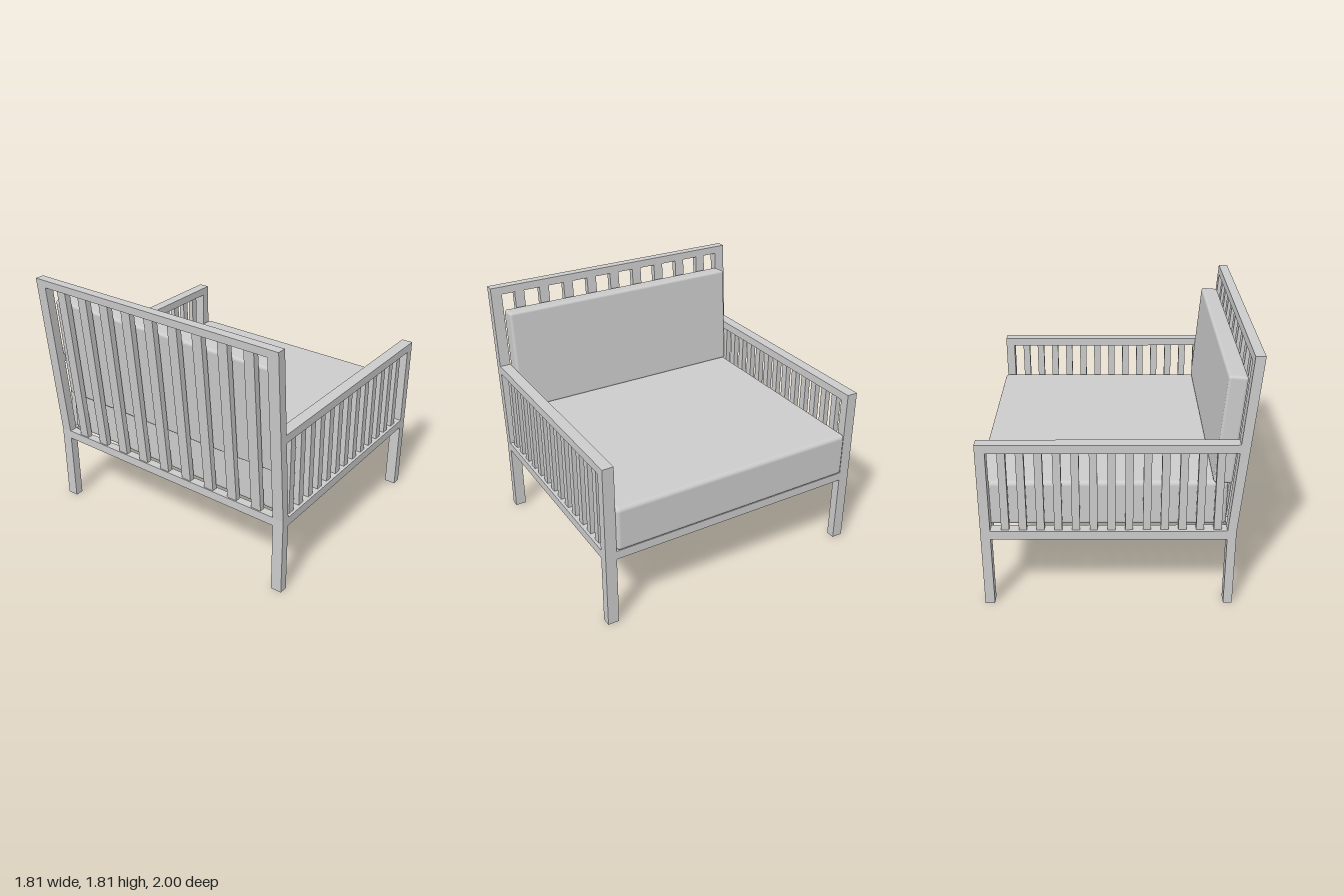
import * as THREE from 'three';
import { RoundedBoxGeometry } from 'three/addons/geometries/RoundedBoxGeometry.js';

const material = new THREE.MeshStandardMaterial({ color: 0xcccccc });

// Leaning back frame: the rear face and front face of the back post at height y
const REAR_SLOPE = (0.91 - 0.805) / (1.81 - 0.575);
const FRONT_SLOPE = (0.845 - 0.745) / (1.81 - 0.575);
const rearX = (y) => -0.805 - REAR_SLOPE * (y - 0.575);
const frontX = (y) => -0.745 - FRONT_SLOPE * (y - 0.575);

export function createModel() {
  const model = new THREE.Group();

  const add = (name, geometry) => {
    const mesh = new THREE.Mesh(geometry, material);
    mesh.name = name;
    model.add(mesh);
    return mesh;
  };

  // Box given by its limits on each axis
  const box = (name, x0, x1, y0, y1, z0, z1) => {
    const mesh = add(name, new THREE.BoxGeometry(x1 - x0, y1 - y0, z1 - z0));
    mesh.position.set((x0 + x1) / 2, (y0 + y1) / 2, (z0 + z1) / 2);
  };

  // Side outline in x and y, carried from z0 to z1
  const profile = (name, points, z0, z1) => {
    const shape = new THREE.Shape(points.map(([x, y]) => new THREE.Vector2(x, y)));
    const geometry = new THREE.ExtrudeGeometry(shape, { depth: z1 - z0, bevelEnabled: false });
    add(name, geometry.translate(0, 0, z0));
  };

  // Leaning piece between two heights, set in from both faces of the back frame
  const leaning = (name, y0, y1, inset, z0, z1) =>
    profile(name, [
      [rearX(y0) + inset, y0], [frontX(y0) - inset, y0],
      [frontX(y1) - inset, y1], [rearX(y1) + inset, y1],
    ], z0, z1);

  for (const side of [-1, 1]) {
    const z0 = side > 0 ? 0.92 : -1;
    const z1 = z0 + 0.08;

    // Posts
    box('frontLeg', 0.82, 0.885, 0, 1.215, z0, z1);
    profile('backPost', [
      [-0.805, 0], [-0.745, 0], [-0.745, 0.575],
      [frontX(1.81), 1.81], [rearX(1.81), 1.81], [-0.805, 0.575],
    ], z0, z1);

    // Arm rail and lower side rail
    profile('armRail', [
      [frontX(1.155), 1.155], [0.82, 1.155], [0.82, 1.215], [frontX(1.215), 1.215],
    ], z0, z1);
    box('sideRail', -0.745, 0.82, 0.515, 0.578, z0, z1);

    // Upright slats under the arm
    for (let i = 0; i < 13; i++) {
      const x = -0.682 + i * 0.117;
      box('sideSlat', x - 0.026, x + 0.026, 0.575, 1.155, side * 0.96 - 0.02, side * 0.96 + 0.02);
    }
  }

  // Cross rails
  box('frontRail', 0.82, 0.885, 0.515, 0.578, -0.92, 0.92);
  box('backRail', -0.805, -0.745, 0.515, 0.578, -0.92, 0.92);
  leaning('topRail', 1.755, 1.81, 0, -0.92, 0.92);

  // Leaning back slats
  for (let i = -4; i <= 4; i++) {
    leaning('backSlat', 0.575, 1.755, 0.01, i * 0.195 - 0.037, i * 0.195 + 0.037);
  }

  // Cushions
  const seat = add('seatCushion', new RoundedBoxGeometry(1.645, 0.325, 1.84, 5, 0.03));
  seat.position.set(0.078, 0.742, 0);

  const back = add('backCushion', new RoundedBoxGeometry(0.126, 0.755, 1.84, 5, 0.02));
  back.position.set(-0.737, 1.27, 0);
  back.rotation.z = 0.081;

  return model;
}
